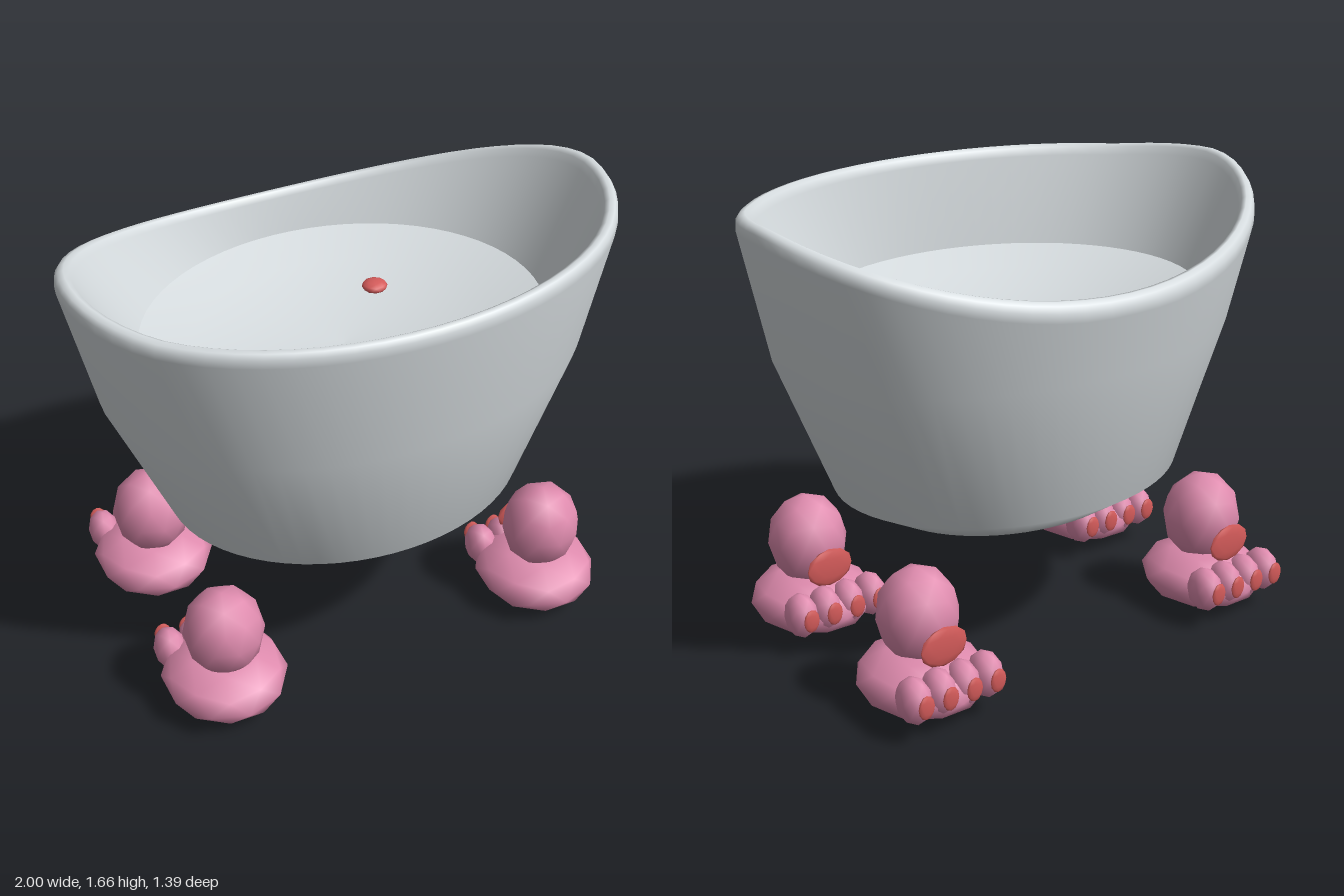
import * as THREE from 'three';

const enamel = new THREE.MeshStandardMaterial({ name: 'grey enamel', color: 0xd6dcdf });
const skin = new THREE.MeshStandardMaterial({ name: 'pink skin', color: 0xdf8bae });
const nail = new THREE.MeshStandardMaterial({ name: 'red nail', color: 0xd65c5b });

// Height change of the rim along z: dips gently at the front, strongly at the back
function rimDrop(z) {
  const t = Math.min(Math.abs(z) / 0.69, 1);
  return z < 0 ? -0.245 * Math.pow(t, 1.6) : -0.025 * Math.min(1, 1.8 * t * t * (3 - 2 * t));
}

// Oval surface lofted through rings: [half width x, half depth z, y, follows rim]
function loft(name, rings) {
  const n = 64, pos = [], index = [];
  rings.forEach(([rx, rz, y, follow], i) => {
    for (let j = 0; j < n; j++) {
      const a = (j / n) * Math.PI * 2;
      const z = rz * Math.sin(a);
      pos.push(rx * Math.cos(a), y + (follow ? rimDrop(z) : 0), z);
      if (i === rings.length - 1) continue;
      const p = i * n + j, q = i * n + ((j + 1) % n);
      if (rx > 0) index.push(p, q + n, q);
      if (rings[i + 1][0] > 0) index.push(p, p + n, q + n);
      else index.splice(-3, 3, p, p + n, q);
    }
  });
  const g = new THREE.BufferGeometry();
  g.setAttribute('position', new THREE.Float32BufferAttribute(pos, 3));
  g.setIndex(index);
  g.computeVertexNormals();
  const mesh = new THREE.Mesh(g, enamel);
  mesh.name = name;
  return mesh;
}

// Low-poly ball with a corner at the top, stretched into an ellipsoid
const ball = new THREE.IcosahedronGeometry(1, 1);
ball.rotateX(-Math.atan((1 + Math.sqrt(5)) / 2));
ball.rotateY(-Math.PI / 2);
function blob(name, material, position, radii) {
  const m = new THREE.Mesh(ball, material);
  m.name = name;
  m.position.set(...position);
  m.scale.set(...radii);
  return m;
}

// One foot with toes pointing to -z, origin on the ground below the ankle
function makeFoot() {
  const foot = new THREE.Group();
  foot.add(blob('ankle', skin, [0, 0.34, 0], [0.148, 0.175, 0.147]));
  foot.add(blob('footBody', skin, [0, 0.113, -0.02], [0.23, 0.113, 0.245]));
  foot.add(blob('ankleNail', nail, [0, 0.28, -0.155], [0.095, 0.073, 0.012]));
  for (let i = 0; i < 4; i++) {
    const x = (i - 1.5) * 0.097;
    foot.add(blob('toe', skin, [x, 0.142, -0.187], [0.059, 0.085, 0.075]));
    foot.add(blob('toeNail', nail, [x, 0.15, -0.263], [0.032, 0.045, 0.009]));
  }
  return foot;
}

export function createModel() {
  const model = new THREE.Group();
  model.name = 'footedBathtub';

  // Base, outer wall, rounded rim and inner wall
  model.add(loft('tub', [
    [0, 0, 0.505, 0], [0.5, 0.39, 0.505, 0], [0.68, 0.535, 0.605, 0], [0.897, 0.64, 1.13, 0],
    [1.0, 0.697, 1.605, 1], [0.997, 0.694, 1.635, 1], [0.985, 0.684, 1.652, 1], [0.965, 0.668, 1.656, 1],
    [0.947, 0.652, 1.645, 1], [0.937, 0.642, 1.615, 1], [0.735, 0.615, 1.26, 0],
  ]));

  // Shallow bowl-shaped floor inside the tub
  model.add(loft('tubFloor', [1, 0.75, 0.5, 0.25, 0].map((t) => [0.735 * t, 0.615 * t, 1.15 + 0.11 * t * t, 0])));

  // Drain plug resting on the floor
  model.add(blob('plug', nail, [0.23, 1.198, -0.222], [0.048, 0.02, 0.047]));

  for (const side of [1, -1]) {
    for (const [end, z] of [['front', 0.365], ['back', -0.365]]) {
      const foot = makeFoot();
      foot.name = end + (side > 0 ? 'Left' : 'Right') + 'Foot';
      foot.position.set(side * 0.655, 0, z);
      model.add(foot);
    }
  }
  return model;
}
